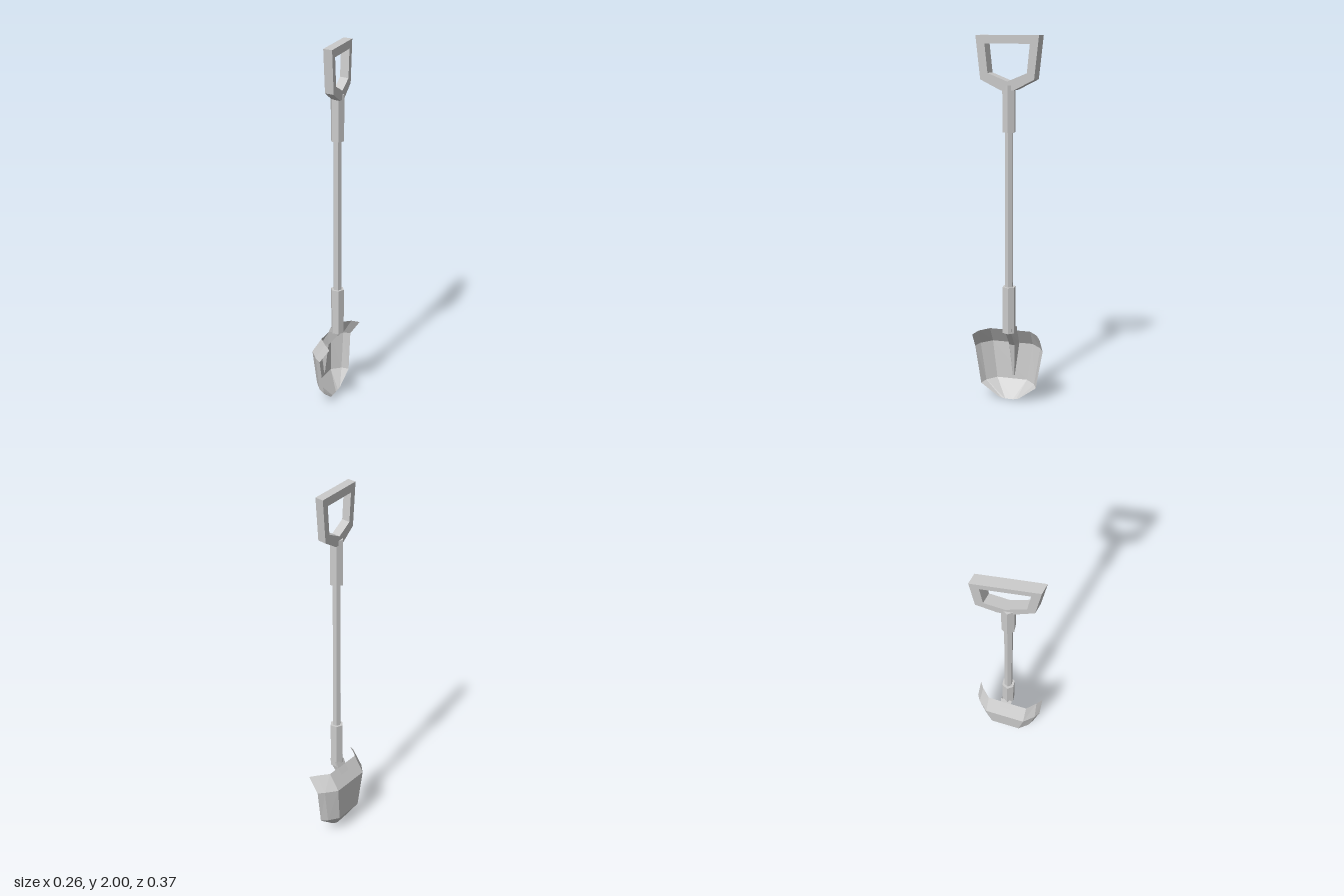
import * as THREE from 'three';

const material = () => new THREE.MeshStandardMaterial({ color: 0xcccccc, flatShading: true, side: THREE.DoubleSide });

function addMesh(parent, geometry, name) {
  const mesh = new THREE.Mesh(geometry, material());
  mesh.name = name;
  parent.add(mesh);
  return mesh;
}

// Skin a list of equal-length cross-sections, optionally closing each ring
function skin(rows, closed) {
  const n = rows[0].length, index = [];
  for (let r = 0; r < rows.length - 1; r++) {
    for (let c = 0; c < (closed ? n : n - 1); c++) {
      const a = r * n + c, b = r * n + (c + 1) % n;
      index.push(a, a + n, b, b, a + n, b + n);
    }
  }
  const g = new THREE.BufferGeometry();
  g.setAttribute('position', new THREE.Float32BufferAttribute(rows.flat(2), 3));
  g.setIndex(index);
  g.computeVertexNormals();
  return g;
}

// Six-sided length of pole
function pole(parent, name, radius, y0, y1) {
  const g = new THREE.CylinderGeometry(radius, radius, y1 - y0, 6);
  g.rotateY(-1.05);
  g.translate(0, (y0 + y1) / 2, 0.004);
  addMesh(parent, g, name);
}

export function createModel() {
  const model = new THREE.Group();
  model.name = 'shovel';

  // Shaft with thicker sockets at both ends
  pole(model, 'shaft', 0.023, 0.6, 1.55);
  pole(model, 'bladeSocket', 0.037, 0.4, 0.66);
  pole(model, 'gripSocket', 0.037, 1.5, 1.745);

  // D-shaped grip: an extruded outline with a hole, slightly sheared
  const path = (pts, Type) => new Type(pts.map(([x, y]) => new THREE.Vector2(x, y)));
  const outline = path([[-0.164, 2], [-0.14, 1.775], [-0.035, 1.72], [0.035, 1.72], [0.14, 1.775], [0.164, 2]], THREE.Shape);
  outline.holes.push(path([[-0.117, 1.957], [0.117, 1.957], [0.102, 1.808], [0, 1.765], [-0.102, 1.808]], THREE.Path));
  const grip = new THREE.ExtrudeGeometry(outline, { depth: 1, bevelEnabled: false });
  grip.translate(0, 0, -0.5);
  grip.applyMatrix4(new THREE.Matrix4().makeBasis(
    new THREE.Vector3(0.543, 0, 0.84), new THREE.Vector3(0, 1, 0), new THREE.Vector3(-0.054, 0, 0.012)));
  grip.computeVertexNormals();
  addMesh(model, grip, 'grip');

  // Blade group, turned slightly further than the grip; local +z is the bulging side
  const head = new THREE.Group();
  head.name = 'head';
  head.rotation.y = -1.143;
  model.add(head);

  // Half rows of the blade from flat panel edge to wing tip: [x, y, z]
  const halfRows = [
    [[0.115, 0.4, 0.04], [0.165, 0.397, -0.008], [0.191, 0.385, -0.047]],
    [[0.115, 0.31, 0.097], [0.172, 0.307, 0.047], [0.193, 0.3, 0.012]],
    [[0.086, 0.1, 0.085], [0.138, 0.095, 0.042], [0.157, 0.087, 0.005]],
    [[0.022, 0.002, 0.02], [0.042, 0.006, 0.017], [0.06, 0.014, 0.013]],
  ];
  const rows = halfRows.map(h => [
    ...h.map(([x, y, z]) => [-x + 0.009, y, z]).reverse(),
    ...h.map(([x, y, z]) => [x + 0.009, y, z]),
  ]);
  addMesh(head, skin(rows, false), 'blade');

  // Tapering tongue that carries the socket down the hollow of the blade: [y, half width, hollow z, blade z]
  const tongue = [
    [0.43, 0.032, -0.028, 0.03],
    [0.4, 0.032, -0.022, 0.042],
    [0.31, 0.03, 0.052, 0.094],
    [0.12, 0.006, 0.082, 0.086],
  ].map(([y, w, z0, z1]) => [[-w, y, z1], [-w * 0.5, y, z0], [w * 0.5, y, z0], [w, y, z1]]);
  addMesh(head, skin(tongue, true), 'tongue');

  return model;
}
